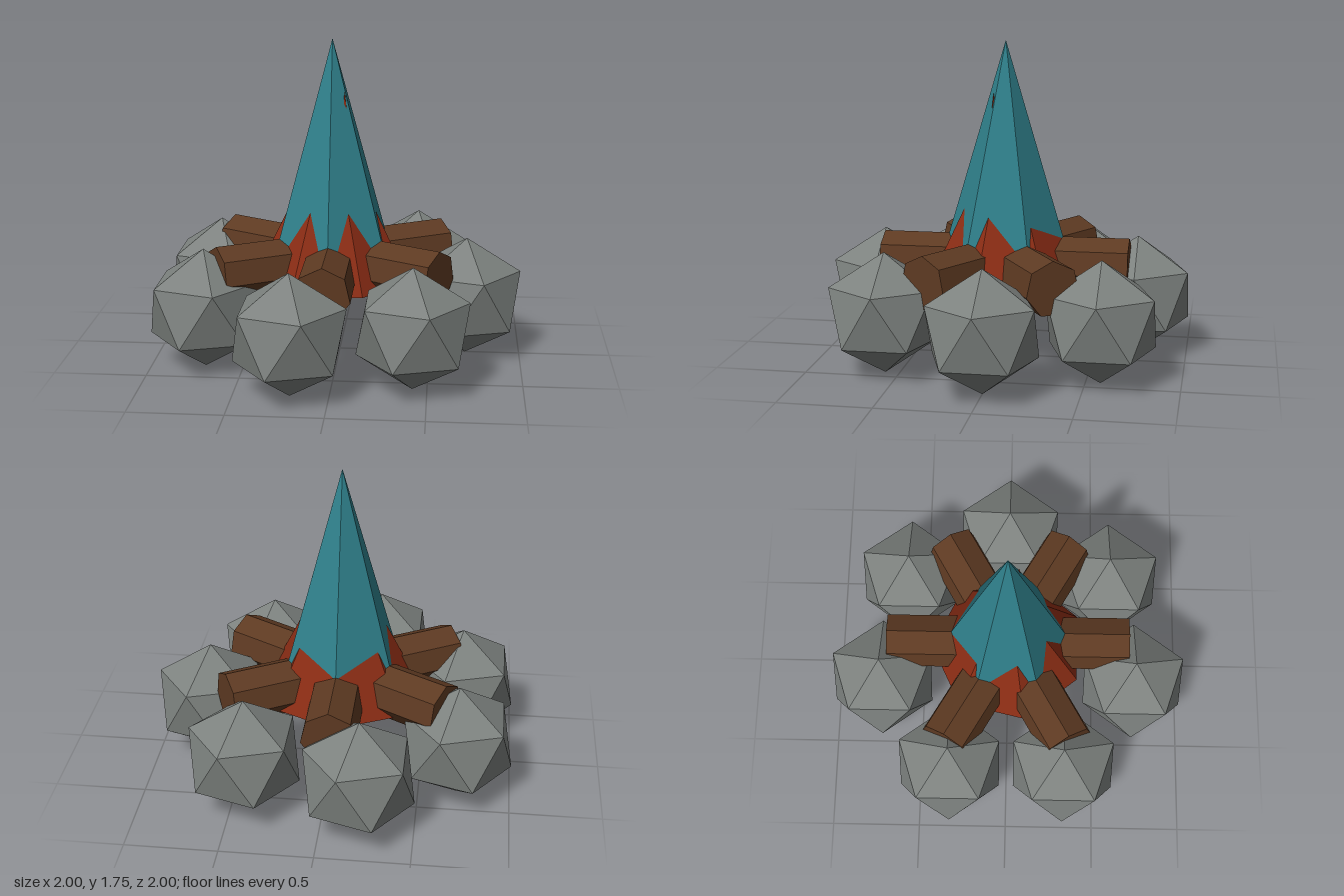
import * as THREE from 'three';

const CENTRE_X = -0.04;

export function createModel() {
  const model = new THREE.Group();
  const paint = (color) => new THREE.MeshStandardMaterial({ color, flatShading: true });
  const stone = paint(0x7d827f), wood = paint(0x5e3a22), ember = paint(0x8a2c14), flame = paint(0x2f7f8a);

  const add = (name, geometry, material, x, y, z) => {
    const mesh = new THREE.Mesh(geometry, material);
    mesh.name = name;
    mesh.position.set(CENTRE_X + x, y, z);
    model.add(mesh);
    return mesh;
  };

  // ring of seven stones, each an icosahedron standing on a corner
  const stoneGeometry = new THREE.IcosahedronGeometry(0.33, 0);
  stoneGeometry.rotateZ(-Math.atan(2 / (1 + Math.sqrt(5))));
  for (let i = 0; i < 7; i++) {
    const a = (i / 7) * Math.PI * 2;
    add('stone' + (i + 1), stoneGeometry, stone, 0.74 * Math.cos(a), 0.33, 0.74 * Math.sin(a));
  }

  // three seven-sided logs crossing in the middle, ridge upward
  const logGeometry = new THREE.CylinderGeometry(0.15, 0.15, 1.37, 7);
  logGeometry.rotateX(-Math.PI / 2);
  for (let i = 0; i < 3; i++) {
    add('log' + (i + 1), logGeometry, wood, 0, 0.527, 0).rotation.y = (i * Math.PI) / 3;
  }

  // glowing heap between the logs
  add('emberHeap', new THREE.ConeGeometry(0.44, 0.88, 7), ember, 0, 0.87, 0).rotation.y = Math.PI;

  // tall outer flame
  add('outerFlame', new THREE.ConeGeometry(0.33, 1.11, 6), flame, 0, 1.195, 0);

  // slim inner flame whose tip breaks through the outer one
  add('innerFlame', new THREE.ConeGeometry(0.12, 0.8, 5), ember, 0.07, 1.07, 0.055).rotation.y = 0.87;

  return model;
}
